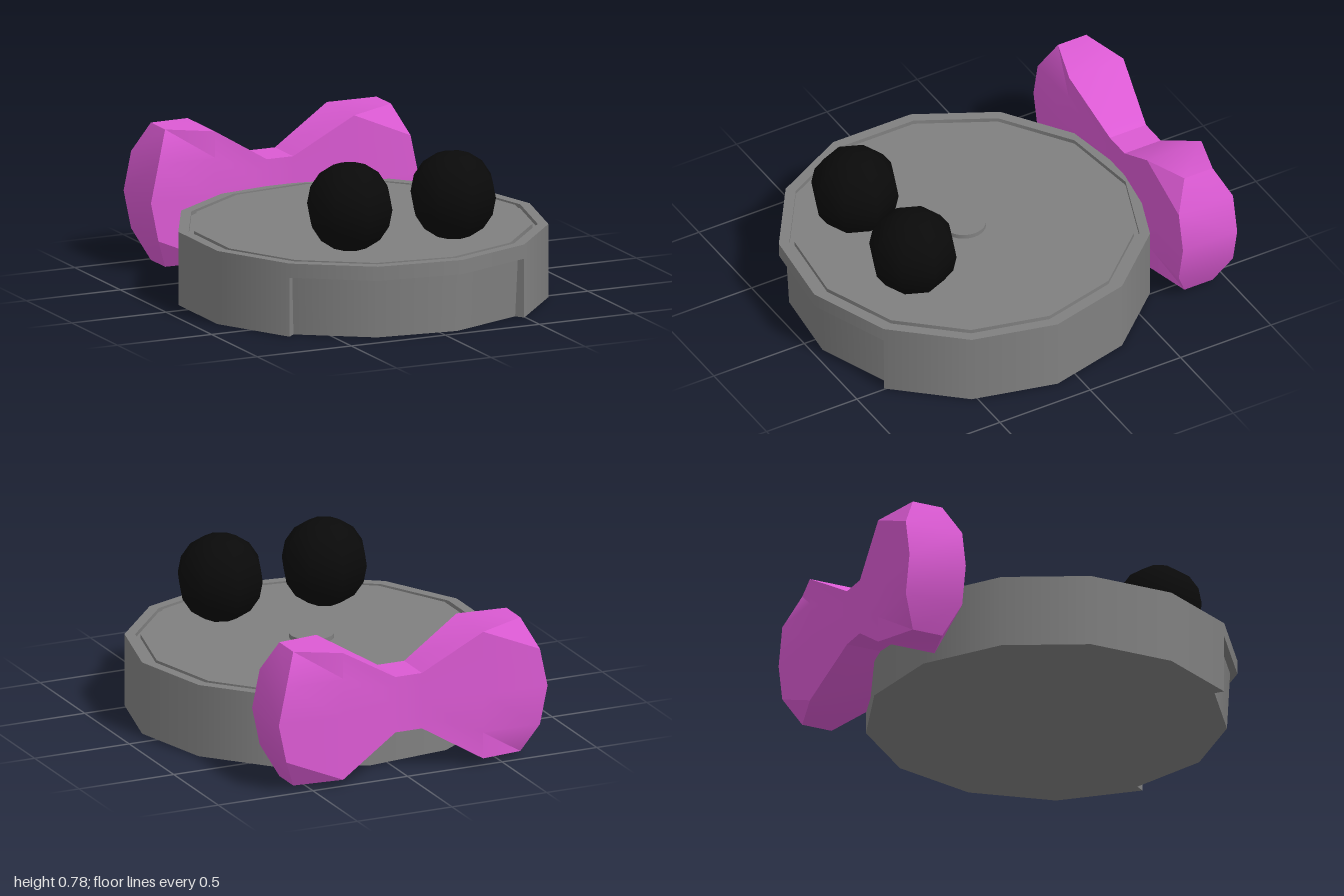
import * as THREE from 'three';
import { mergeGeometries, mergeVertices, toCreasedNormals } from 'three/addons/utils/BufferGeometryUtils.js';

const SIDES = 13, STEP = (Math.PI * 2) / SIDES;
const R = 0.895, CX = -0.015, CZ = 0.11;      // body radius and centre
const TOP = 0.36, LIP = 0.29;                 // top of the body, underside of the front lip
const IN_TOP = 0.86, IN_BOTTOM = 0.845;       // radii of the sunken front panel

const paint = (color, extra = {}) => new THREE.MeshStandardMaterial({ color, roughness: 0.8, ...extra });

function add(parent, name, geometry, material, x = 0, y = 0, z = 0) {
  const mesh = new THREE.Mesh(geometry, material);
  mesh.name = name;
  mesh.position.set(x, y, z);
  parent.add(mesh);
  return mesh;
}

// Turned surface with a sharp edge at every profile point
function turned(profile, from = 0, count = SIDES) {
  const bands = [];
  for (let i = 0; i < profile.length - 1; i++) {
    const pts = [profile[i], profile[i + 1]].map(([r, y]) => new THREE.Vector2(r, y));
    bands.push(new THREE.LatheGeometry(pts, count, Math.PI / 2 + from * STEP, count * STEP));
  }
  return mergeGeometries(bands);
}

// Bow: cross-sections along x, each a loop of [x, y, halfDepth] rows, top to bottom and back
function bowGeometry() {
  const half = [
    [[0.07, 0.14, 0.1], [0.07, 0.08, 0.1], [0.07, 0, 0.1]],        // knot
    [[0.37, 0.32, 0.15], [0.37, 0.19, 0.15], [0.37, 0, 0.15]],     // widest part
    [[0.6, 0.338, 0.078], [0.67, 0.19, 0.15], [0.71, 0, 0.15]],    // rounded end
  ];
  const column = (rows, side) => {
    const [a, b, c] = rows;
    const full = [a, b, c, [b[0], -b[1], b[2]], [a[0], -a[1], a[2]]];
    const front = full.map(([x, y, d]) => [side * x, y, d]);
    const back = full.map(([x, y, d]) => [side * x, y, -d]).reverse();
    return [...front, ...back];
  };
  const columns = [
    ...[...half].reverse().map((rows) => column(rows, -1)),
    ...half.map((rows) => column(rows, 1)),
  ];
  const n = 10, index = [];
  const quad = (a, b, c, d) => index.push(a, b, c, a, c, d);
  for (let c = 0; c < columns.length - 1; c++) {
    for (let i = 0; i < n; i++) {
      const j = (i + 1) % n;
      quad(c * n + i, c * n + j, (c + 1) * n + j, (c + 1) * n + i);
    }
  }
  // end faces
  const last = (columns.length - 1) * n;
  for (let i = 0; i < 4; i++) {
    quad(i, 9 - i, 8 - i, i + 1);
    quad(last + i, last + i + 1, last + 8 - i, last + 9 - i);
  }
  const g = new THREE.BufferGeometry();
  g.setAttribute('position', new THREE.Float32BufferAttribute(columns.flat(2), 3));
  g.setIndex(index);
  return toCreasedNormals(mergeVertices(g), 0.5);
}

export function createModel() {
  const model = new THREE.Group();
  model.name = 'model';
  const grey = paint(0x808080);
  const black = paint(0x0a0a0a);
  const pink = paint(0xdb5ad3);

  const body = new THREE.Group();
  body.name = 'body';
  body.position.set(CX, 0, CZ);
  model.add(body);

  // Lower walls: full radius around the back, sunken across three front sides
  add(body, 'shell', turned([[0, 0], [R, 0], [R, TOP]], -2, 10 + 0), grey);
  body.children[0].geometry.dispose();
  body.children[0].geometry = turned([[0, 0], [R, 0], [R, TOP]], -2, 10);
  add(body, 'frontPanel', turned([[0, 0], [IN_BOTTOM, 0], [IN_TOP, LIP], [R, LIP], [R, TOP]], -5, 3), grey);

  // Small walls closing the ends of the sunken panel
  const wall = new THREE.Shape([[IN_BOTTOM, 0], [R, 0], [R, LIP], [IN_TOP, LIP]].map(([x, y]) => new THREE.Vector2(x, y)));
  for (const k of [2, 5]) {
    const end = add(body, 'panelEnd', new THREE.ShapeGeometry(wall), paint(0x808080, { side: THREE.DoubleSide }));
    end.rotation.y = -k * STEP;
  }

  // Top with a narrow groove inside the rim
  add(body, 'lid', turned([[R, TOP], [0.844, TOP], [0.844, TOP - 0.02], [0.818, TOP - 0.02], [0.818, TOP], [0, TOP]]), grey);
  add(body, 'button', new THREE.CylinderGeometry(0.108, 0.108, 0.03, 32), grey, 0, TOP + 0.007, 0);

  // Eyes
  for (const [name, x] of [['rightEye', -0.29], ['leftEye', 0.26]]) {
    add(model, name, new THREE.SphereGeometry(0.216, 8, 8), black, x, 0.565, 0.55);
  }

  // Bow at the back
  add(model, 'bow', bowGeometry(), pink, -0.03, 0.352, -0.85);
  return model;
}
